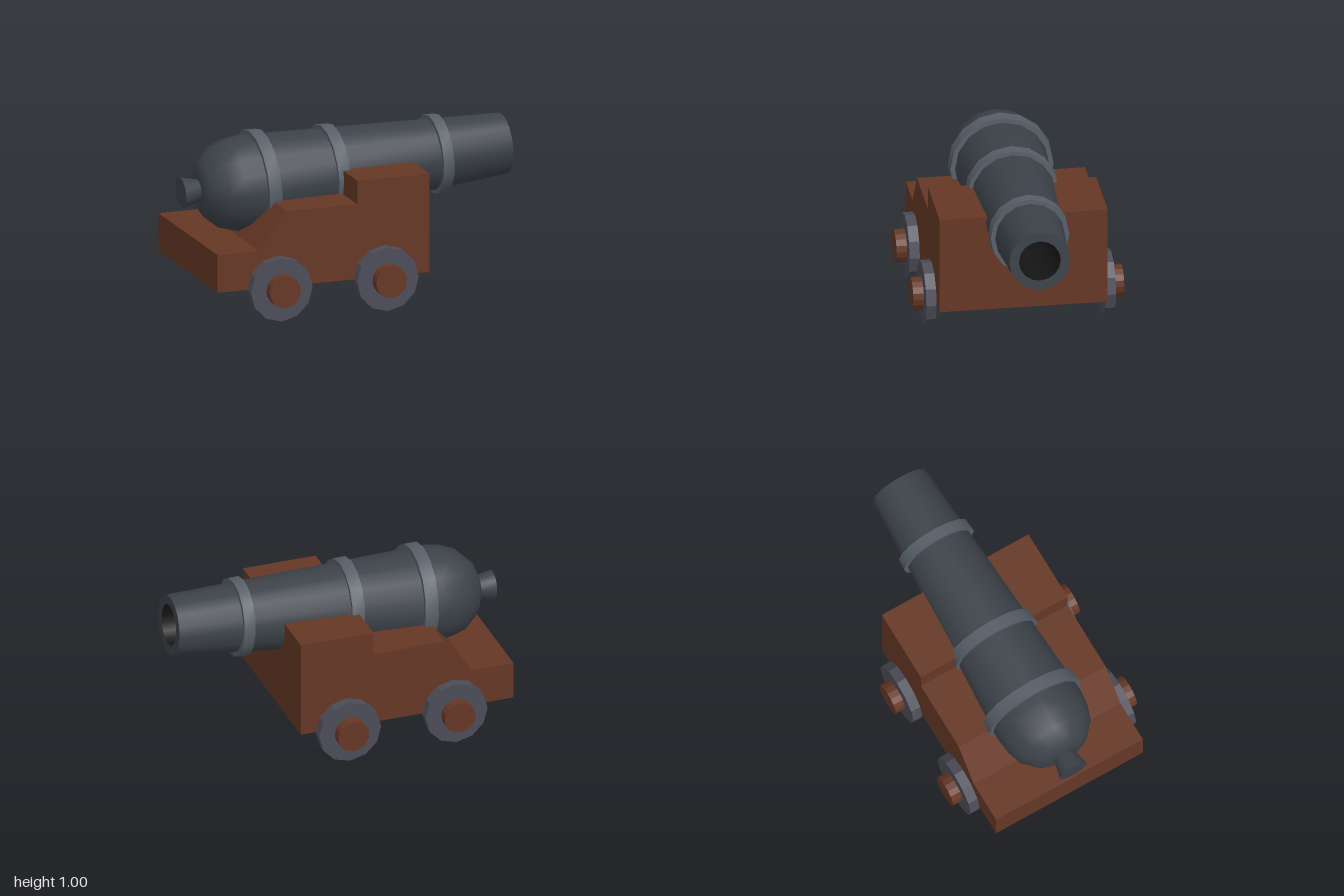
import * as THREE from 'three';
import { toCreasedNormals } from 'three/addons/utils/BufferGeometryUtils.js';

const material = (color, flatShading = false) => new THREE.MeshStandardMaterial({ color, flatShading });
const iron = material(0x3c4249);
const bandIron = material(0x565e66);
const boreBlack = material(0x151515);
const wheelIron = material(0x4b4c57, true);
const wood = material(0x653725, true);

function addMesh(parent, name, geometry, mat) {
  const mesh = new THREE.Mesh(geometry, mat);
  mesh.name = name;
  parent.add(mesh);
  return mesh;
}

// Turned part from [radius, distance along the axis] pairs, 16-sided
function turned(pairs) {
  const points = pairs.map(([r, t]) => new THREE.Vector2(r, t));
  return toCreasedNormals(new THREE.LatheGeometry(points, 16), 0.6);
}

function createBarrel() {
  const barrel = new THREE.Group();
  barrel.name = 'barrel';

  // Knob, rounded breech, tapering tube and muzzle lip
  addMesh(barrel, 'barrelTube', turned([
    [0, -0.995], [0.09, -0.995], [0.064, -0.89], [0.1, -0.895], [0.165, -0.865],
    [0.242, -0.78], [0.272, -0.69], [0.282, -0.6], [0.178, 0.988], [0.122, 0.988],
  ]), iron);

  addMesh(barrel, 'bore', turned([[0.122, 0.988], [0.122, 0.4], [0, 0.4]]), boreBlack);

  // Reinforcing bands: centre, half width, rear and front radius
  const bands = [[-0.52, 0.039, 0.306, 0.301], [-0.082, 0.037, 0.273, 0.268], [0.573, 0.033, 0.234, 0.229]];
  for (const [t, half, rear, front] of bands) {
    addMesh(barrel, 'barrelBand', turned([
      [0.17, t - half], [rear, t - half], [front, t + half], [0.17, t + half],
    ]), bandIron);
  }

  // Lay the axis along +x with the muzzle slightly raised
  barrel.rotation.z = -Math.PI / 2 + 0.0555;
  barrel.position.y = 0.725;
  return barrel;
}

function createCarriage() {
  // Stepped side profile extruded across the full width
  const profile = new THREE.Shape([
    [-0.95, 0.193], [0.355, 0.193], [0.355, 0.78], [-0.09, 0.78],
    [-0.09, 0.64], [-0.525, 0.64], [-0.695, 0.418], [-0.95, 0.418],
  ].map(([x, y]) => new THREE.Vector2(x, y)));
  const geometry = new THREE.ExtrudeGeometry(profile, { depth: 0.98, bevelEnabled: false });
  geometry.translate(0, 0, -0.49);
  return geometry;
}

function createWheel(x, side) {
  const wheel = new THREE.Group();
  wheel.name = 'wheel';
  const disc = new THREE.CylinderGeometry(0.19, 0.19, 0.06, 12).rotateX(Math.PI / 2);
  addMesh(wheel, 'wheelDisc', disc, wheelIron).position.z = side * 0.523;
  const hub = new THREE.CylinderGeometry(0.095, 0.095, 0.125, 16).rotateX(Math.PI / 2);
  addMesh(wheel, 'axleEnd', hub, wood).position.z = side * 0.5525;
  wheel.position.set(x, 0.192, 0);
  return wheel;
}

export function createModel() {
  const model = new THREE.Group();
  model.name = 'cannon';
  addMesh(model, 'carriage', createCarriage(), wood);
  model.add(createBarrel());
  for (const x of [-0.578, 0.075]) {
    for (const side of [-1, 1]) model.add(createWheel(x, side));
  }
  return model;
}
